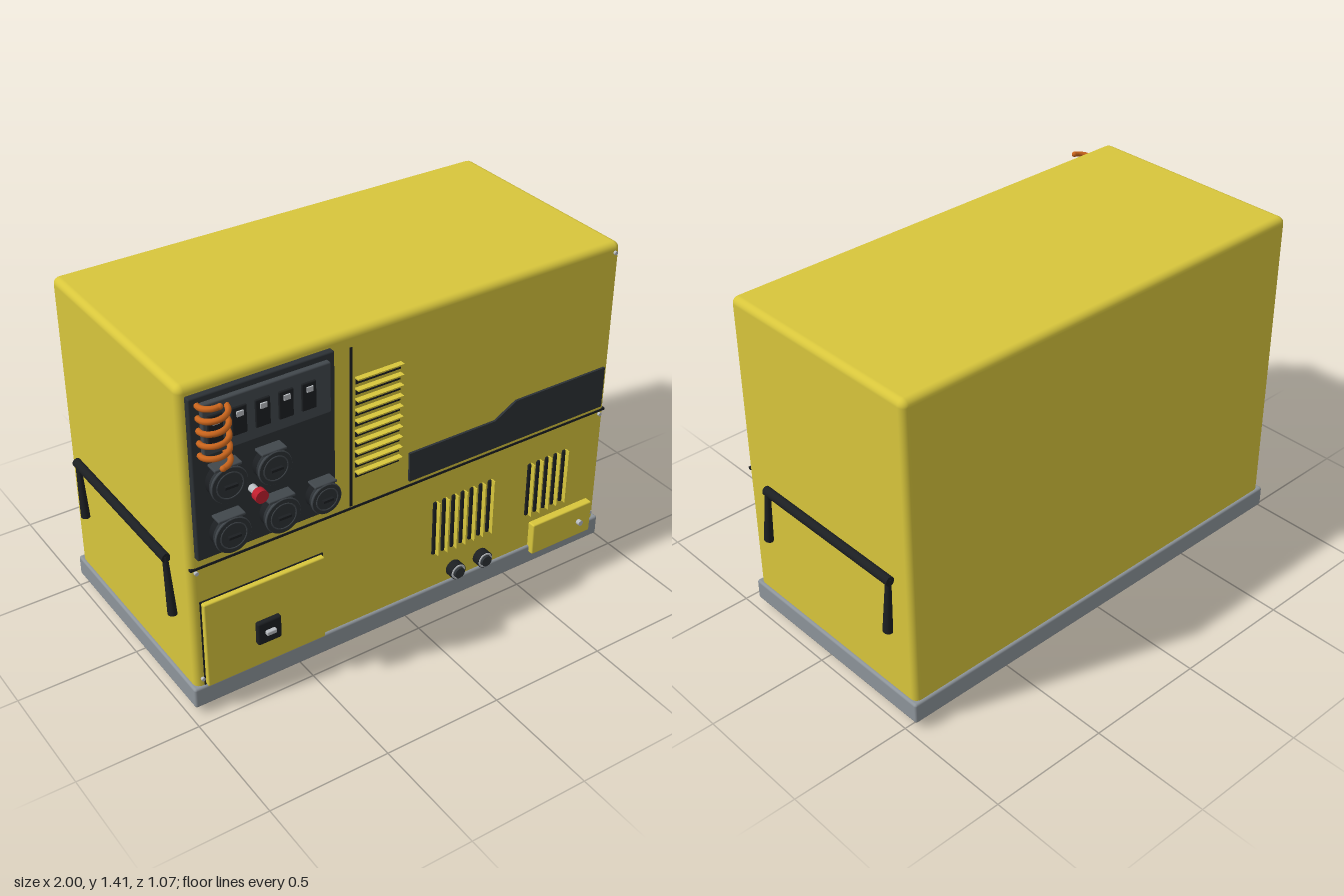
import * as THREE from 'three';
import { RoundedBoxGeometry } from 'three/addons/geometries/RoundedBoxGeometry.js';

const mat = (color) => new THREE.MeshStandardMaterial({ color });
const YELLOW = mat(0xd8c63c), DARK = mat(0x2c3135), BLACK = mat(0x1c1f22), STEEL = mat(0x8d949a),
  SILVER = mat(0xb8bcc0), RED = mat(0xc01f2e), ORANGE = mat(0xc8641c), GREY = mat(0x41474c);
const FACE = 0.432; // z of the housing's front face

export function createModel() {
  const root = new THREE.Group();

  const add = (name, geo, material, x, y, z, parent = root) => {
    const m = new THREE.Mesh(geo, material);
    m.name = name;
    m.position.set(x, y, z);
    parent.add(m);
    return m;
  };
  // box given by its limits in x, y and z, optionally rounded
  const box = (name, material, x0, x1, y0, y1, z0, z1, r = 0, parent = root) => {
    const s = [x1 - x0, y1 - y0, z1 - z0];
    const geo = r ? new RoundedBoxGeometry(...s, 3, r) : new THREE.BoxGeometry(...s);
    return add(name, geo, material, (x0 + x1) / 2, (y0 + y1) / 2, (z0 + z1) / 2, parent);
  };
  // round part whose axis points to the front
  const disc = (name, material, x, y, z0, z1, r, parent = root, seg = 32) => {
    const geo = new THREE.CylinderGeometry(r, r, z1 - z0, seg).rotateX(Math.PI / 2);
    return add(name, geo, material, x, y, (z0 + z1) / 2, parent);
  };
  const ring = (name, material, x, y, z, r, tube, parent = root) =>
    add(name, new THREE.TorusGeometry(r, tube, 8, 36), material, x, y, z, parent);

  // housing, base tray and feet
  box('housing', YELLOW, -0.966, 0.964, 0.06, 1.415, -0.524, FACE, 0.028);
  box('baseTray', STEEL, -0.978, 0.976, 0.03, 0.12, -0.536, 0.442, 0.01);
  for (const x of [-0.81, 0.805])
    for (const z of [0.314, -0.404])
      box('foot', BLACK, x - 0.085, x + 0.085, 0, 0.04, z - 0.083, z + 0.083, 0.012);

  // seams
  box('horizontalSeam', BLACK, -0.96, 0.96, 0.658, 0.668, FACE - 0.01, FACE + 0.003);
  box('verticalSeam', BLACK, -0.286, -0.276, 0.674, 1.353, FACE - 0.01, FACE + 0.003);

  // control panel with breaker row
  box('controlPanel', DARK, -0.938, -0.364, 0.711, 1.377, FACE - 0.01, 0.457, 0.006);
  box('breakerPanel', GREY, -0.9, -0.393, 1.15, 1.353, 0.45, 0.478, 0.006);
  for (let i = 0; i < 5; i++) {
    const x = -0.855 + i * 0.092;
    box('breaker', BLACK, x - 0.029, x + 0.029, 1.197, 1.307, 0.47, 0.486, 0.004);
    box('breakerToggle', SILVER, x - 0.013, x + 0.013, 1.272, 1.292, 0.48, 0.492);
  }

  // sockets with round hinged lids
  const sockets = [[-0.826, 1.027, 0.072], [-0.644, 1.027, 0.067],
    [-0.821, 0.813, 0.072], [-0.618, 0.813, 0.072], [-0.436, 0.813, 0.062]];
  for (const [x, y, r] of sockets) {
    const g = new THREE.Group();
    g.name = 'socket';
    g.position.set(x, y, 0);
    root.add(g);
    disc('socketBody', BLACK, 0, 0, 0.45, 0.492, r * 0.94, g);
    disc('socketLid', DARK, 0, 0, 0.488, 0.512, r * 0.97, g);
    ring('lidRim', GREY, 0, 0, 0.506, r * 0.95, 0.005, g);
    ring('lidGroove', GREY, 0, 0, 0.511, r * 0.72, 0.003, g);
    box('lidHinge', GREY, -r * 0.75, r * 0.75, r * 0.9, r * 1.06, 0.455, 0.508, 0.004, g);
    box('lidGrip', BLACK, -r * 0.35, r * 0.35, -0.005, 0.005, 0.51, 0.524, 0, g);
  }

  // emergency stop button
  disc('stopStem', SILVER, -0.711, 0.941, 0.45, 0.503, 0.016);
  disc('stopButton', RED, -0.711, 0.941, 0.498, 0.527, 0.026);

  // coiled cable
  const turns = 5, coil = [];
  for (let i = 0; i <= turns * 16; i++) {
    const t = i / 16 * Math.PI * 2;
    coil.push(new THREE.Vector3(-0.858 - 0.052 * Math.sin(t), 1.362 - 0.0492 * i / 16, 0.474 + 0.052 * Math.cos(t)));
  }
  add('coiledCable', new THREE.TubeGeometry(new THREE.CatmullRomCurve3(coil), 200, 0.011, 8), ORANGE, 0, 0, 0);
  for (const p of [coil[0], coil[coil.length - 1]])
    add('cableEnd', new THREE.SphereGeometry(0.0115, 12, 8), ORANGE, p.x, p.y, p.z);

  // horizontal louvres, each with a small hood above
  for (let i = 0; i < 10; i++) {
    const y = 1.208 - i * 0.0446;
    box('louvreSlot', BLACK, -0.262, -0.067, y - 0.012, y + 0.012, FACE - 0.01, FACE + 0.003);
    box('louvreHood', YELLOW, -0.264, -0.065, y + 0.012, y + 0.018, FACE - 0.01, 0.456);
  }

  // vertical vents, each with a thin fin beside it
  for (const [x0, n] of [[0.11, 7], [0.58, 5]])
    for (let i = 0; i < n; i++) {
      const x = x0 + i * 0.0446;
      box('ventSlot', BLACK, x - 0.0085, x + 0.0085, 0.281, 0.535, FACE - 0.01, 0.44, 0.007);
      box('ventFin', YELLOW, x + 0.0085, x + 0.0125, 0.281, 0.535, FACE - 0.01, 0.456);
    }

  // stepped dark air inlet
  const inlet = new THREE.Shape([[-0.021, 0.687], [0.933, 0.687], [0.933, 0.87], [0.484, 0.87],
    [0.382, 0.813], [-0.021, 0.813]].map(([x, y]) => new THREE.Vector2(x, y)));
  add('airInlet', new THREE.ExtrudeGeometry(inlet, { depth: 0.02, bevelEnabled: false }), DARK, 0, 0, FACE - 0.01);

  // service door with latch
  box('doorGap', BLACK, -0.932, -0.408, 0.122, 0.512, FACE - 0.01, FACE + 0.004);
  box('serviceDoor', YELLOW, -0.927, -0.413, 0.125, 0.508, FACE, 0.457, 0.006);
  box('latchPlate', BLACK, -0.72, -0.618, 0.235, 0.337, 0.45, 0.477, 0.008);
  box('latchHandle', SILVER, -0.69, -0.648, 0.28, 0.298, 0.47, 0.493, 0.004);

  // pipe fittings
  for (const x of [0.214, 0.35]) {
    disc('fittingBody', BLACK, x, 0.171, FACE - 0.01, 0.468, 0.036);
    ring('fittingRim', SILVER, x, 0.171, 0.467, 0.029, 0.005);
    disc('fittingCap', DARK, x, 0.171, 0.46, 0.48, 0.024);
  }

  // lower access plate
  box('accessPlate', YELLOW, 0.601, 0.912, 0.088, 0.235, FACE - 0.01, 0.465, 0.006);
  disc('plateScrew', SILVER, 0.845, 0.159, 0.46, 0.483, 0.012, root, 16);

  // corner screws
  for (const [x, y] of [[0.933, 1.377], [0.933, 0.647], [-0.938, 0.647], [0.933, 0.155], [-0.938, 0.155]])
    disc('cornerScrew', SILVER, x, y, FACE - 0.01, FACE + 0.01, 0.008, root, 12);

  // carrying handles: a bar with two widening legs on each side
  for (const side of [-1, 1]) {
    const g = new THREE.Group();
    g.name = side > 0 ? 'leftHandle' : 'rightHandle';
    g.position.x = side * 0.982;
    root.add(g);
    add('handleBar', new THREE.CylinderGeometry(0.02, 0.02, 0.729, 16).rotateX(Math.PI / 2).scale(0.9, 1, 1),
      BLACK, 0, 0.643, -0.0695, g);
    for (const [top, bottom] of [[0.285, 0.312], [-0.424, -0.405]]) {
      const leg = add('handleLeg', new THREE.CylinderGeometry(0.012, 0.021, 0.25, 16).scale(0.85, 1, 1),
        BLACK, 0, 0.525, (top + bottom) / 2, g);
      leg.rotation.x = -Math.atan2(bottom - top, 0.25);
    }
  }
  return root;
}
